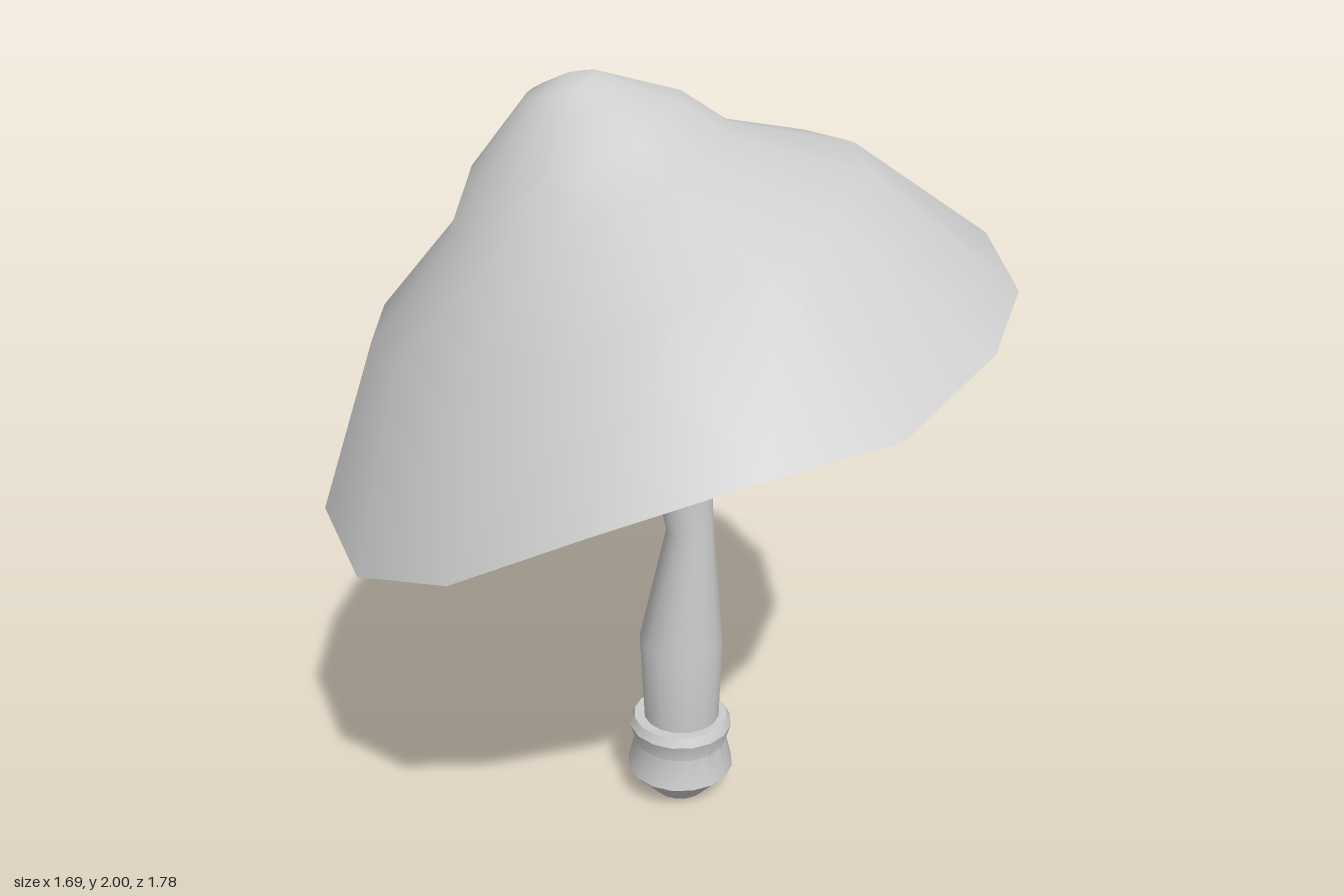
import * as THREE from 'three';
import { mergeVertices, toCreasedNormals } from 'three/addons/utils/BufferGeometryUtils.js';

const SIDES = 16;

// A tilted ring: centre x and y, radius, and how far its +x edge rises.
function ring(cx, cy, r, rise = 0, rz = r) {
  return Array.from({ length: SIDES }, (_, i) => {
    const a = (i / SIDES) * Math.PI * 2;
    return [cx + r * Math.cos(a), cy + rise * Math.cos(a), rz * Math.sin(a)];
  });
}

// Skin a stack of rings, listed bottom to top for outward faces.
function loft(rings, crease) {
  const index = [];
  for (let k = 0; k < rings.length - 1; k++) {
    for (let i = 0; i < SIDES; i++) {
      const j = (i + 1) % SIDES;
      const a = k * SIDES + i, b = k * SIDES + j;
      index.push(a, a + SIDES, b, b, a + SIDES, b + SIDES);
    }
  }
  let geo = new THREE.BufferGeometry();
  geo.setAttribute('position', new THREE.Float32BufferAttribute(rings.flat(2), 3));
  geo.setIndex(index);
  geo = mergeVertices(geo);
  geo.computeVertexNormals();
  return crease ? toCreasedNormals(geo, crease) : geo;
}

export function createModel() {
  const group = new THREE.Group();
  const grey = new THREE.MeshStandardMaterial({ color: 0xcccccc });
  grey.name = 'pale grey';
  const add = (name, geo) => {
    const mesh = new THREE.Mesh(geo, grey);
    mesh.name = name;
    group.add(mesh);
  };

  // Wavy rim, from the +x edge round by the front
  const rimY = [1.565, 1.52, 1.48, 1.385, 1.355, 1.24, 1.06, 0.95,
    0.97, 0.995, 1.02, 1.16, 1.27, 1.36, 1.48, 1.545];
  const rim = ring(0, 0, 0.845, 0, 0.888).map(([x, , z], i) => [x, rimY[i], z]);

  // Cap: lopsided bell leaning to -x
  add('capTop', loft([
    rim,
    ring(-0.11, 1.6, 0.59, 0.21, 0.62),
    ring(-0.165, 1.75, 0.34, 0.12, 0.345),
    ring(-0.2, 1.86, 0.25, 0.09, 0.255),
    ring(-0.225, 1.975, 0.085, 0.025),
    ring(-0.21, 2.0, 0),
  ]));

  // Shallow cone beneath the cap
  add('capUnderside', loft([ring(-0.15, 1.63, 0), rim]));

  // Bent stalk, pinched at mid height
  add('stem', loft([
    ring(0.063, 0.23, 0.104),
    ring(0.06, 0.48, 0.114),
    ring(0.083, 0.81, 0.063),
    ring(0.05, 1.05, 0.085),
    ring(0.015, 1.26, 0.106, 0.02),
    ring(-0.025, 1.38, 0.09, 0.02),
    ring(-0.06, 1.47, 0.078, 0.02),
  ]));

  // Collar and flared tip under the cap
  add('stemCollar', loft([
    ring(-0.06, 1.46, 0.075, 0.02),
    ring(-0.07, 1.495, 0.12, 0.03),
    ring(-0.08, 1.535, 0.108, 0.03),
    ring(-0.085, 1.55, 0.085, 0.025),
    ring(-0.105, 1.605, 0.098, 0.03),
    ring(-0.105, 1.605, 0, 0),
  ], 0.6));

  // Turned foot with a moulded top edge
  add('foot', loft([
    ring(0.06, 0, 0),
    ring(0.06, 0, 0.075),
    ring(0.06, 0.08, 0.148),
    ring(0.06, 0.165, 0.128),
    ring(0.06, 0.215, 0.142),
    ring(0.06, 0.24, 0.13),
    ring(0.06, 0.24, 0),
  ], 0.6));

  return group;
}
